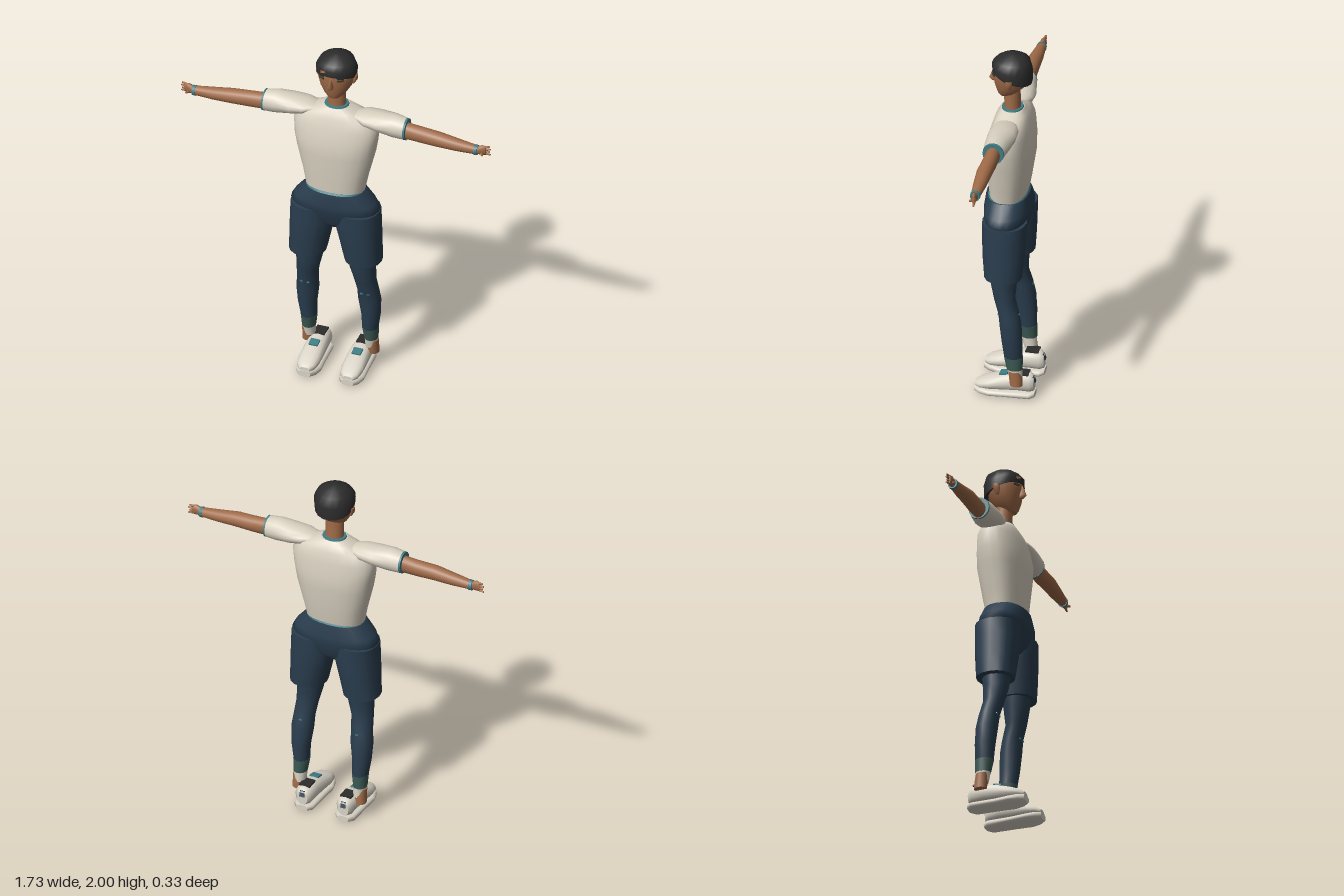
import * as THREE from 'three';

const mat = (name, color, side = THREE.FrontSide) => {
  const m = new THREE.MeshStandardMaterial({ color, side });
  m.name = name;
  return m;
};

// Loft through oval sections [along, c1, c2, r1, r2, tilt] on axis 'y' (x,z), 'x' (y,z) or 'z' (x,y).
function loft(axis, sections, { n = 16, p = 2, side = 1 } = {}) {
  const pos = [], idx = [];
  const put = (t, u, v) => {
    const q = axis === 'y' ? [u, t, v] : axis === 'x' ? [t, u, v] : [u, v, t];
    pos.push(q[0] * side, q[1], q[2]);
  };
  const flip = (axis !== 'y') !== (side < 0);
  const tri = (a, b, c) => (flip ? idx.push(a, c, b) : idx.push(a, b, c));
  const round = (v) => Math.sign(v) * Math.pow(Math.abs(v), 2 / p);
  const ring = ([t, c1, c2, r1, r2, tilt = 0]) => {
    for (let j = 0; j < n; j++) {
      const a = (j / n) * Math.PI * 2, s = Math.sin(a);
      put(t + tilt * s, c1 + r1 * round(Math.cos(a)), c2 + r2 * round(s));
    }
  };
  sections.forEach(ring);
  for (let i = 0; i < sections.length - 1; i++) {
    for (let j = 0; j < n; j++) {
      const a = i * n + j, b = i * n + ((j + 1) % n);
      tri(a, a + n, b);
      tri(b, a + n, b + n);
    }
  }
  // End caps with their own vertices, so the rims stay sharp
  [sections[0], sections[sections.length - 1]].forEach((s, k) => {
    const base = pos.length / 3;
    ring(s);
    put(s[0], s[1], s[2]);
    for (let j = 0; j < n; j++) {
      const a = base + j, b = base + ((j + 1) % n);
      k ? tri(base + n, b, a) : tri(base + n, a, b);
    }
  });
  const g = new THREE.BufferGeometry();
  g.setAttribute('position', new THREE.Float32BufferAttribute(pos, 3));
  g.setIndex(idx);
  g.computeVertexNormals();
  return g;
}

export function createModel() {
  const model = new THREE.Group();
  model.name = 'standingMan';
  const skin = mat('skin', 0xa06b48);
  const hair = mat('hair', 0x2c2c2c);
  const cloth = mat('shirtCream', 0xd9d1c1);
  const navy = mat('navy', 0x2a3d4e);
  const teal = mat('tealTrim', 0x3f7d86);
  const sock = mat('sockGreen', 0x3d5a54);
  const shoe = mat('shoeCream', 0xdad4c7);
  const eyeMat = mat('eye', 0x3c3b2a);

  const add = (name, geo, m, parent = model) => {
    const mesh = new THREE.Mesh(geo, m);
    mesh.name = name;
    parent.add(mesh);
    return mesh;
  };
  const plate = (name, size, at, rot, m, parent) => {
    const mesh = add(name, new THREE.BoxGeometry(...size), m, parent);
    mesh.position.set(...at);
    mesh.rotation.set(...rot);
    return mesh;
  };

  // Head
  add('head', loft('y', [
    [1.752, 0, 0.03, 0.03, 0.027], [1.772, 0, 0.014, 0.056, 0.053],
    [1.82, 0, -0.003, 0.086, 0.084], [1.88, 0, -0.008, 0.103, 0.098],
    [1.93, 0, -0.01, 0.102, 0.099], [1.97, 0, -0.01, 0.075, 0.075],
    [1.985, 0, -0.01, 0.03, 0.03]], { n: 20 }), skin);
  add('neck', loft('y', [
    [1.65, 0, -0.015, 0.055, 0.048], [1.7, 0, -0.013, 0.049, 0.043],
    [1.79, 0, -0.01, 0.049, 0.045]]), skin);
  add('nose', loft('y', [
    [1.828, 0, 0.08, 0.012, 0.018], [1.845, 0, 0.083, 0.017, 0.033],
    [1.9, 0, 0.083, 0.006, 0.01]], { n: 6 }), skin);
  add('hair', loft('y', [
    [1.872, 0, -0.012, 0.107, 0.106, 0.036], [1.925, 0, -0.012, 0.111, 0.108, 0.018],
    [1.965, 0, -0.014, 0.09, 0.092], [1.988, 0, -0.014, 0.055, 0.058],
    [2.0, 0, -0.012, 0.014, 0.015]], { n: 18 }), hair);
  plate('foreheadPatch', [0.032, 0.016, 0.006], [-0.042, 1.932, 0.084], [-0.25, -0.38, 0.3], skin);

  // Shirt body, collar and hem
  add('shirt', loft('y', [
    [1.17, 0, 0.003, 0.16, 0.098], [1.25, 0, -0.001, 0.175, 0.108],
    [1.4, 0, -0.007, 0.212, 0.124], [1.48, 0, -0.007, 0.226, 0.124],
    [1.57, 0, -0.013, 0.234, 0.108], [1.625, 0, -0.015, 0.2, 0.092],
    [1.655, 0, -0.015, 0.12, 0.076], [1.678, 0, -0.014, 0.068, 0.06]],
  { n: 24, p: 2.4 }), cloth);
  add('collar', loft('y', [
    [1.668, 0, -0.014, 0.07, 0.061], [1.686, 0, -0.014, 0.064, 0.056]]), teal);
  add('hemTrim', loft('y', [
    [1.163, 0, 0.005, 0.158, 0.108], [1.177, 0, 0.004, 0.158, 0.1]], { n: 24, p: 2.4 }), teal);

  // Shorts seat
  add('shortsSeat', loft('y', [
    [0.94, 0, 0, 0.13, 0.07], [0.98, 0, 0, 0.2, 0.1],
    [1.06, 0, 0.003, 0.244, 0.121], [1.1, 0, 0.006, 0.222, 0.123],
    [1.168, 0, 0.008, 0.163, 0.113]], { n: 24, p: 2.3 }), navy);

  for (const side of [1, -1]) {
    const label = side > 0 ? 'left' : 'right';
    const half = new THREE.Group();
    half.name = label + 'Limbs';
    model.add(half);
    const part = (name, axis, sections, m, opt = {}) =>
      add(label + name, loft(axis, sections, { side, ...opt }), m, half);

    // Eye, brow and ear
    plate(label + 'Eye', [0.034, 0.009, 0.006], [side * 0.053, 1.888, 0.078], [0, side * 0.53, 0], eyeMat, half);
    plate(label + 'Brow', [0.038, 0.005, 0.006], [side * 0.053, 1.902, 0.078], [0, side * 0.53, side * -0.12], hair, half);
    part('Ear', 'y', [
      [1.83, 0.093, -0.012, 0.006, 0.008], [1.86, 0.104, -0.014, 0.012, 0.02],
      [1.885, 0.105, -0.016, 0.01, 0.018]], skin, { n: 8 });

    // Sleeve, arm and hand
    part('Sleeve', 'x', [
      [0.105, 1.642, -0.01, 0.012, 0.045], [0.17, 1.632, -0.01, 0.04, 0.074],
      [0.24, 1.627, -0.008, 0.05, 0.078], [0.33, 1.621, -0.002, 0.064, 0.066],
      [0.393, 1.615, 0.002, 0.06, 0.057]], cloth);
    part('SleeveCuff', 'x', [
      [0.39, 1.615, 0.002, 0.061, 0.058], [0.4, 1.614, 0.002, 0.06, 0.057]], teal);
    part('Arm', 'x', [
      [0.38, 1.607, 0.002, 0.048, 0.038], [0.48, 1.602, 0.005, 0.045, 0.04],
      [0.58, 1.599, 0.01, 0.041, 0.041], [0.68, 1.59, 0.01, 0.034, 0.035],
      [0.795, 1.583, 0.01, 0.025, 0.024]], skin);
    part('Wristband', 'x', [
      [0.779, 1.583, 0.01, 0.03, 0.028], [0.796, 1.583, 0.01, 0.028, 0.026]], teal);
    part('Hand', 'x', [
      [0.79, 1.584, 0.01, 0.022, 0.018], [0.818, 1.589, 0.009, 0.031, 0.015],
      [0.84, 1.588, 0.006, 0.027, 0.01]], skin, { n: 10 });
    for (let f = 0; f < 4; f++) {
      const y = 1.569 + f * 0.013;
      part('Finger' + (f + 1), 'x', [
        [0.83, y, 0.006, 0.0065, 0.008], [0.864 - (f % 2) * 0.006, y + (f - 1.5) * 0.003, 0.002, 0.004, 0.005]],
      skin, { n: 6 });
    }
    part('Thumb', 'z', [
      [0.01, 0.812, 1.575, 0.01, 0.009], [0.034, 0.826, 1.572, 0.006, 0.006]], skin, { n: 6 });

    // Shorts leg and legging
    part('ShortsLeg', 'y', [
      [0.735, 0.155, 0.001, 0.1, 0.101], [0.85, 0.14, 0.002, 0.11, 0.112],
      [0.96, 0.125, 0.002, 0.123, 0.118], [1.05, 0.123, 0.002, 0.12, 0.119]], navy, { p: 2.2 });
    part('Legging', 'y', [
      [0.255, 0.171, -0.056, 0.042, 0.049], [0.35, 0.177, -0.05, 0.051, 0.055],
      [0.45, 0.173, -0.041, 0.061, 0.058], [0.52, 0.168, -0.03, 0.058, 0.055],
      [0.6, 0.16, -0.007, 0.06, 0.056], [0.68, 0.149, 0, 0.07, 0.068],
      [0.8, 0.14, 0, 0.08, 0.08]], navy);
    for (const [x, z] of [[0.15, 0.021], [0.186, 0.021], [0.165, -0.085]])
      plate(label + 'KneeFleck', [0.016, 0.007, 0.006], [side * x, 0.515, z], [0, 0, side * 0.2], teal, half);

    // Sock and ankle
    part('Sock', 'y', [
      [0.19, 0.174, -0.063, 0.037, 0.043], [0.262, 0.171, -0.056, 0.044, 0.051]], sock);
    part('SockLower', 'y', [
      [0.135, 0.172, -0.07, 0.032, 0.036], [0.195, 0.174, -0.063, 0.036, 0.042]], shoe);
    part('Ankle', 'y', [
      [0.095, 0.183, -0.074, 0.03, 0.034], [0.14, 0.18, -0.07, 0.032, 0.036],
      [0.18, 0.186, -0.064, 0.026, 0.032]], skin);

    // Shoe
    part('Sole', 'z', [
      [-0.162, 0.12, 0.022, 0.032, 0.016], [-0.135, 0.12, 0.02, 0.056, 0.02],
      [0, 0.12, 0.019, 0.061, 0.019], [0.08, 0.12, 0.02, 0.068, 0.02],
      [0.13, 0.12, 0.024, 0.056, 0.022], [0.161, 0.12, 0.028, 0.034, 0.018]], shoe, { p: 3 });
    part('ShoeUpper', 'z', [
      [-0.157, 0.12, 0.078, 0.03, 0.038], [-0.135, 0.12, 0.086, 0.049, 0.053],
      [-0.07, 0.12, 0.088, 0.055, 0.052], [0, 0.12, 0.08, 0.058, 0.047],
      [0.08, 0.12, 0.066, 0.06, 0.035], [0.13, 0.12, 0.056, 0.05, 0.026],
      [0.156, 0.12, 0.05, 0.028, 0.015]], shoe, { p: 2.3 });
    plate(label + 'ShoeTongue', [0.05, 0.008, 0.045], [side * 0.12, 0.127, 0.005], [0.2, 0, 0], teal, half);
    plate(label + 'ShoeOpening', [0.062, 0.009, 0.07], [side * 0.12, 0.139, -0.095], [0, 0, 0], hair, half);
    plate(label + 'HeelTab', [0.028, 0.034, 0.006], [side * 0.12, 0.105, -0.156], [0.35, 0, 0], navy, half);
  }
  return model;
}
